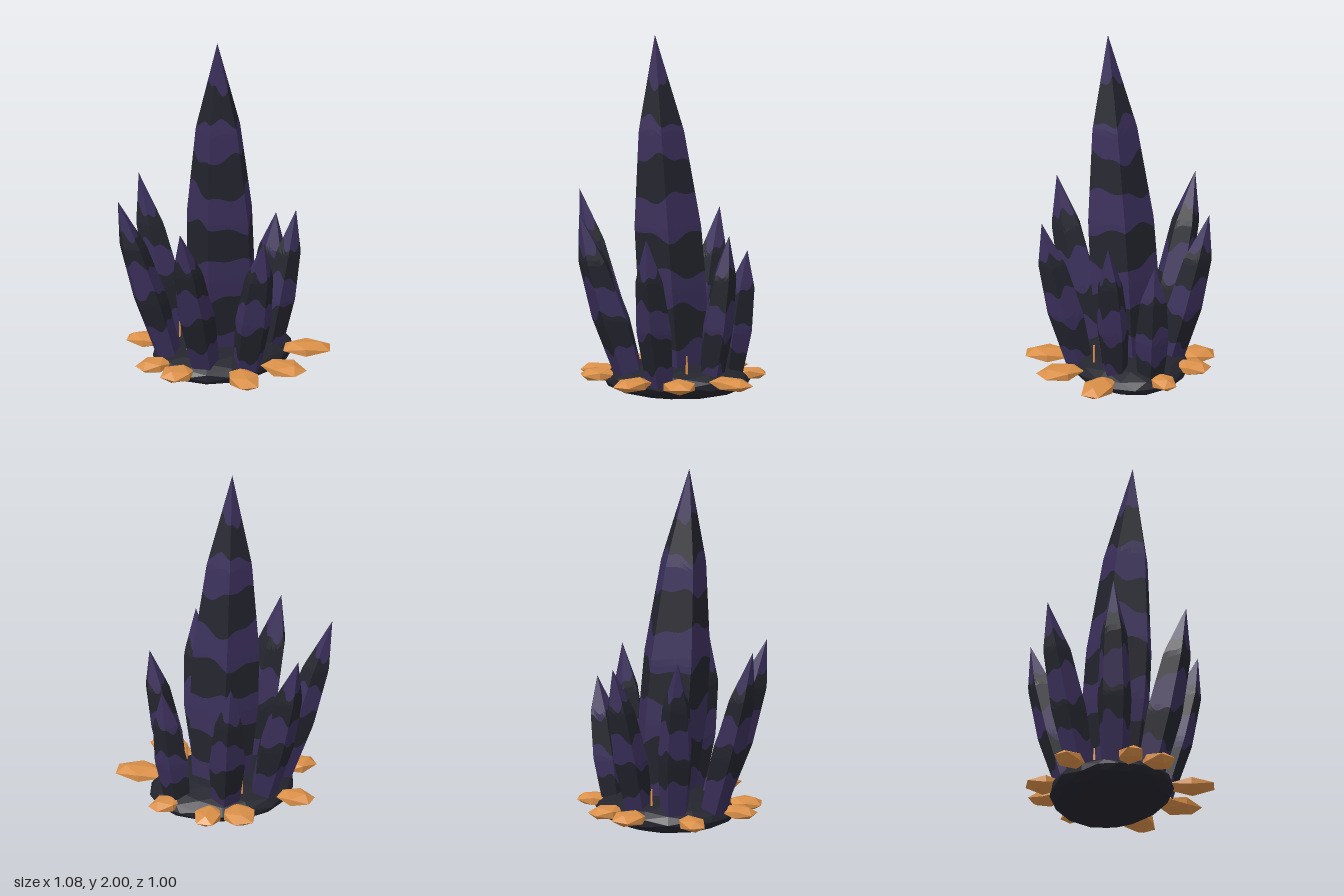
import * as THREE from 'three';

const mat = (name, color) => {
  const m = new THREE.MeshStandardMaterial({ color, flatShading: true });
  m.name = name;
  return m;
};

// Radius along a crystal: [fraction of length, fraction of widest radius]
const SIDE_PROFILE = [[0, 0.75], [0.38, 1], [0.72, 0.78], [1, 0]];
const MAIN_PROFILE = [[0, 0.8], [0.27, 1], [0.45, 0.97], [0.725, 0.66], [1, 0]];

function radiusAt(profile, t) {
  for (let i = 1; i < profile.length; i++) {
    const [t0, r0] = profile[i - 1], [t1, r1] = profile[i];
    if (t <= t1) return r0 + (r1 - r0) * (t - t0) / (t1 - t0);
  }
  return 0;
}

// Five-sided leaning crystal cut into wavy bands of alternating material
function makeCrystal({ name, base, tip, r, yaw, profile = SIDE_PROFILE, first = 0.2, step = 0.18 }, mats) {
  const SIDES = 5, CUTS = 8, ROWS = 6, N = SIDES * CUTS;
  const a = new THREE.Vector3(...base), b = new THREE.Vector3(...tip);
  const height = b.y - a.y;
  const corner = s => {
    const q = yaw + s * Math.PI * 2 / SIDES;
    return [Math.cos(q), Math.sin(q)];
  };
  const point = (j, y) => {
    const t = THREE.MathUtils.clamp((y - a.y) / height, 0, 1);
    const s = Math.floor(j / CUTS), f = (j % CUTS) / CUTS;
    const c0 = corner(s), c1 = corner(s + 1);
    const rad = r * radiusAt(profile, t);
    const p = a.clone().lerp(b, t);
    p.x += rad * (c0[0] + (c1[0] - c0[0]) * f);
    p.z += rad * (c0[1] + (c1[1] - c0[1]) * f);
    return p;
  };
  const count = Math.max(1, Math.round((height - first) / step));
  // Height of band edge k at perimeter position j
  const edge = (k, j) => {
    if (k === 0) return b.y;
    if (k > count) return a.y;
    const q = j / N * Math.PI * 2;
    return b.y - first - (k - 1) * step
      + 0.028 * Math.sin(2 * q + k * 1.7 + yaw) + 0.016 * Math.sin(5 * q + k * 2.3);
  };
  const pos = [], geo = new THREE.BufferGeometry();
  for (let k = 0; k <= count; k++) {
    const start = pos.length / 3;
    for (let i = 0; i < ROWS; i++) {
      for (let j = 0; j < N; j++) {
        const at = (row, col) => point(col % N, THREE.MathUtils.lerp(edge(k, col % N), edge(k + 1, col % N), row / ROWS));
        const p = at(i, j), q = at(i, j + 1), u = at(i + 1, j), v = at(i + 1, j + 1);
        for (const w of [u, p, q, u, q, v]) pos.push(w.x, w.y, w.z);
      }
    }
    geo.addGroup(start, pos.length / 3 - start, k % 2);
  }
  geo.setAttribute('position', new THREE.Float32BufferAttribute(pos, 3));
  geo.computeVertexNormals();
  const mesh = new THREE.Mesh(geo, mats);
  mesh.name = name;
  return mesh;
}

export function createModel() {
  const group = new THREE.Group();
  group.name = 'crystalCluster';
  const purple = mat('crystal purple', 0x3a2f5a);
  const dark = mat('dark stone', 0x23242d);
  const amber = mat('amber', 0xd98f48);

  // Flattened lumpy rock
  const rockGeo = new THREE.IcosahedronGeometry(1, 2);
  const p = rockGeo.attributes.position;
  for (let i = 0; i < p.count; i++) {
    const q = Math.atan2(p.getZ(i), p.getX(i));
    const flat = Math.hypot(p.getX(i), p.getZ(i));
    const k = 1 + 0.03 * flat * Math.sin(3 * q + 1);
    p.setXYZ(i, p.getX(i) * k * 0.4, p.getY(i) * 0.104, p.getZ(i) * k * 0.33);
  }
  rockGeo.computeVertexNormals();
  const rock = new THREE.Mesh(rockGeo, dark);
  rock.name = 'rockBase';
  rock.position.set(0.05, 0.105, -0.045);
  group.add(rock);

  // Tall central crystal and the ring of leaning ones
  const crystals = [
    { name: 'mainCrystal', base: [0.065, 0.1, -0.035], tip: [-0.045, 2, 0.05], r: 0.195, yaw: 0.07, profile: MAIN_PROFILE, first: 0.26, step: 0.205 },
    { name: 'leftRearCrystal', base: [-0.24, 0.1, -0.11], tip: [-0.525, 1.09, -0.2], r: 0.097, yaw: 0.35 },
    { name: 'leftFrontCrystal', base: [-0.16, 0.1, 0.1], tip: [-0.42, 1.03, 0.24], r: 0.108, yaw: 0.5 },
    { name: 'rearLeftCrystal', base: [-0.085, 0.1, -0.245], tip: [-0.2, 1.07, -0.475], r: 0.1, yaw: 1.0 },
    { name: 'rearRightCrystal', base: [0.125, 0.1, -0.24], tip: [0.19, 0.98, -0.455], r: 0.102, yaw: 0.2 },
    { name: 'rightRearCrystal', base: [0.335, 0.1, -0.09], tip: [0.435, 0.815, -0.09], r: 0.095, yaw: 0.25 },
    { name: 'rightFrontCrystal', base: [0.27, 0.1, 0.085], tip: [0.395, 0.935, 0.16], r: 0.088, yaw: 0.9 },
    { name: 'frontCrystal', base: [0.03, 0.1, 0.22], tip: [0, 0.945, 0.43], r: 0.102, yaw: 0.31 },
  ];
  for (const c of crystals) group.add(makeCrystal(c, [purple, dark]));

  // Flat amber nodules around the rim: x, z, radial and tangential half sizes
  const nodules = [
    [-0.235, -0.36, 0.105, 0.07], [0.115, -0.4, 0.105, 0.09], [0.275, -0.34, 0.1, 0.075],
    [0.43, -0.135, 0.1, 0.065], [0.42, 0.22, 0.14, 0.085], [0.17, 0.37, 0.13, 0.09],
    [-0.09, 0.37, 0.13, 0.085], [-0.345, 0.105, 0.1, 0.085], [-0.385, -0.06, 0.1, 0.07],
  ];
  nodules.forEach(([x, z, rad, tan], i) => {
    const nodule = new THREE.Mesh(new THREE.IcosahedronGeometry(1, 0), amber);
    nodule.name = 'amberNodule' + (i + 1);
    nodule.position.set(x, 0.133, z);
    nodule.scale.set(rad * 1.08, 0.038, tan * 1.1);
    nodule.rotation.y = -Math.atan2(z + 0.045, x - 0.05);
    group.add(nodule);
  });

  // Tiny amber splinters on top of the rock
  [[0.04, -0.27], [-0.125, -0.19], [-0.19, -0.02], [0.165, 0.18]].forEach(([x, z], i) => {
    const splinter = new THREE.Mesh(new THREE.CylinderGeometry(0.005, 0.007, 0.1, 5), amber);
    splinter.name = 'amberSplinter' + (i + 1);
    splinter.position.set(x, 0.22, z);
    group.add(splinter);
  });
  return group;
}
